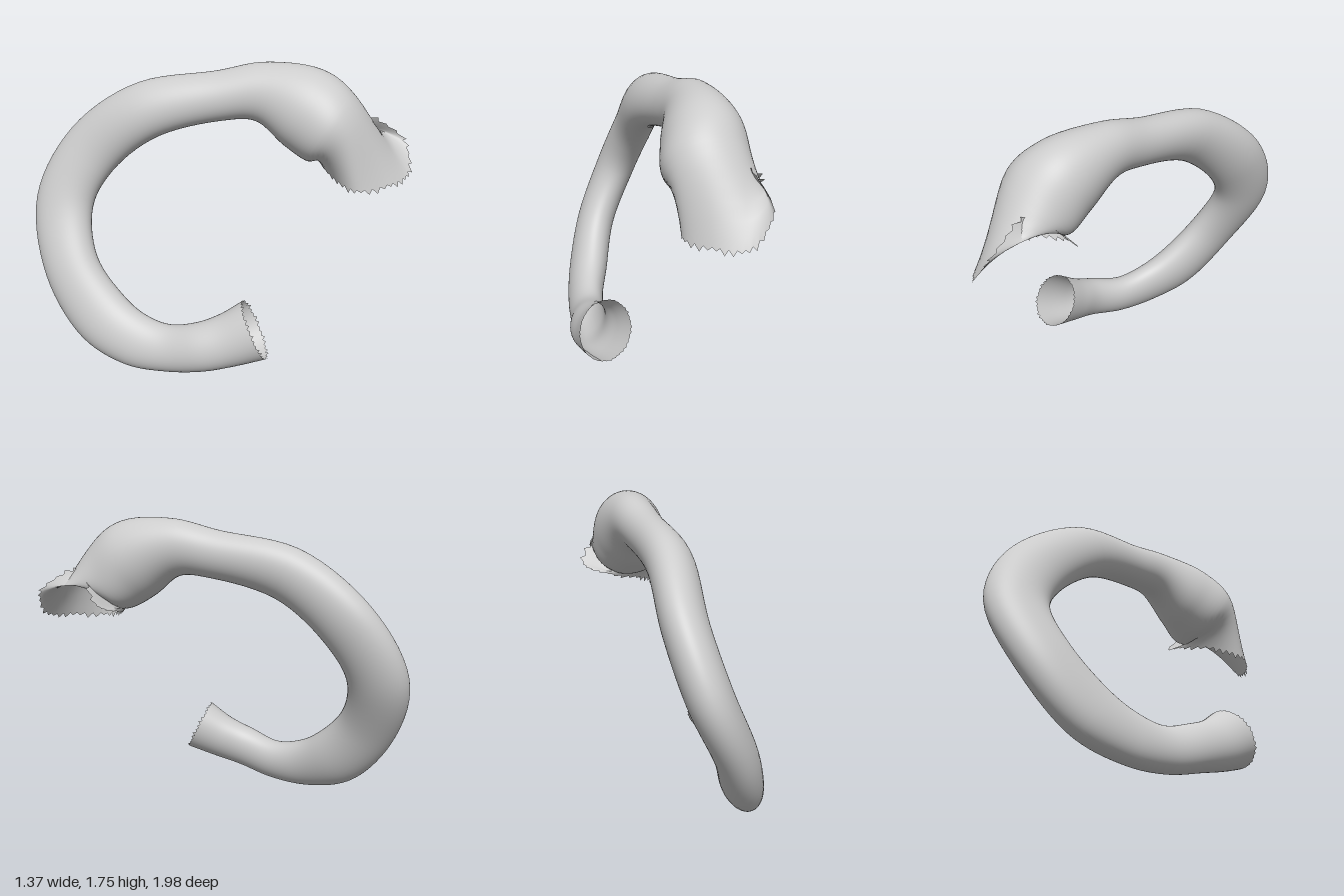
import * as THREE from 'three';

const V = (x, y, z) => new THREE.Vector3(x, y, z);
const SIDES = 72, STEPS = 96;

// Centre line with two half-widths: across the loop's plane, and within it
const SECTIONS = [
  [-0.26, 0.335, 0.48, 0.155, 0.18],
  [-0.35, 0.255, 0.34, 0.125, 0.155],
  [-0.43, 0.20, 0.20, 0.11, 0.143],
  [-0.485, 0.15, 0.00, 0.10, 0.14],
  [-0.54, 0.165, -0.20, 0.105, 0.163],
  [-0.57, 0.26, -0.42, 0.12, 0.185],
  [-0.56, 0.53, -0.67, 0.12, 0.175],
  [-0.44, 0.88, -0.81, 0.125, 0.185],
  [-0.30, 1.19, -0.70, 0.125, 0.185],
  [-0.155, 1.46, -0.38, 0.13, 0.17],
  [0.06, 1.56, 0.00, 0.125, 0.145],
  [0.17, 1.59, 0.20, 0.145, 0.17],
  [0.26, 1.51, 0.44, 0.215, 0.24],
  [0.31, 1.40, 0.60, 0.235, 0.225],
];

// Flared upper mouth, one loop around the rim
const MOUTH = new THREE.CatmullRomCurve3([
  V(0.21, 1.08, 0.82), V(0.38, 1.09, 0.95), V(0.56, 1.12, 0.99), V(0.66, 1.30, 0.91),
  V(0.53, 1.46, 0.70), V(0.60, 1.28, 0.44), V(0.42, 1.20, 0.46), V(0.25, 1.13, 0.64),
], true);

function sectionLoop(k) {
  const at = (i) => V(...SECTIONS[Math.min(Math.max(i, 0), SECTIONS.length - 1)].slice(0, 3));
  const [, , , across, within] = SECTIONS[k];
  const t = at(k + 1).sub(at(k - 1)).normalize();
  const b = V(-0.909, 0.357, 0.216);
  b.addScaledVector(t, -b.dot(t)).normalize();
  const p = b.clone().cross(t);
  return Array.from({ length: SIDES }, (_, i) => {
    const a = (i / SIDES) * Math.PI * 2;
    return at(k).addScaledVector(b, Math.cos(a) * across).addScaledVector(p, Math.sin(a) * within);
  });
}

// Pull every other rim point back to leave torn teeth
function tear(rim, inner, depth) {
  rim.forEach((v, i) => {
    const pull = i % 2 ? 1 : 0.3 + 0.3 * Math.sin(i * 2.3);
    const d = inner[i].clone().sub(v).normalize();
    v.addScaledVector(d, pull * depth);
  });
}

function vesselGeometry() {
  const loops = SECTIONS.map((_, k) => sectionLoop(k));
  loops.push(Array.from({ length: SIDES }, (_, i) => MOUTH.getPoint((i / SIDES + 15 / 16) % 1)));

  // Smooth lengthwise curve through matching points of all loops
  const rings = Array.from({ length: STEPS + 1 }, () => []);
  for (let i = 0; i < SIDES; i++) {
    const curve = new THREE.CatmullRomCurve3(loops.map((l) => l[i]));
    rings.forEach((r, s) => r.push(curve.getPoint(s / STEPS)));
  }
  tear(rings[0], rings[1], 0.02);
  tear(rings[STEPS], rings[STEPS - 1], 0.035);

  const index = [];
  for (let s = 0; s < STEPS; s++) {
    for (let i = 0; i < SIDES; i++) {
      const j = (i + 1) % SIDES;
      const a = s * SIDES + i, b = s * SIDES + j, c = a + SIDES, d = b + SIDES;
      index.push(a, c, b, b, c, d);
    }
  }
  const geometry = new THREE.BufferGeometry().setFromPoints(rings.flat());
  geometry.setIndex(index);
  geometry.computeVertexNormals();
  return geometry;
}

export function createModel() {
  const group = new THREE.Group();
  group.name = 'curvedVessel';
  const grey = new THREE.MeshStandardMaterial({ color: 0xcccccc, side: THREE.DoubleSide });
  grey.name = 'lightGrey';
  const wall = new THREE.Mesh(vesselGeometry(), grey);
  wall.name = 'vesselWall';
  group.add(wall);
  return group;
}
